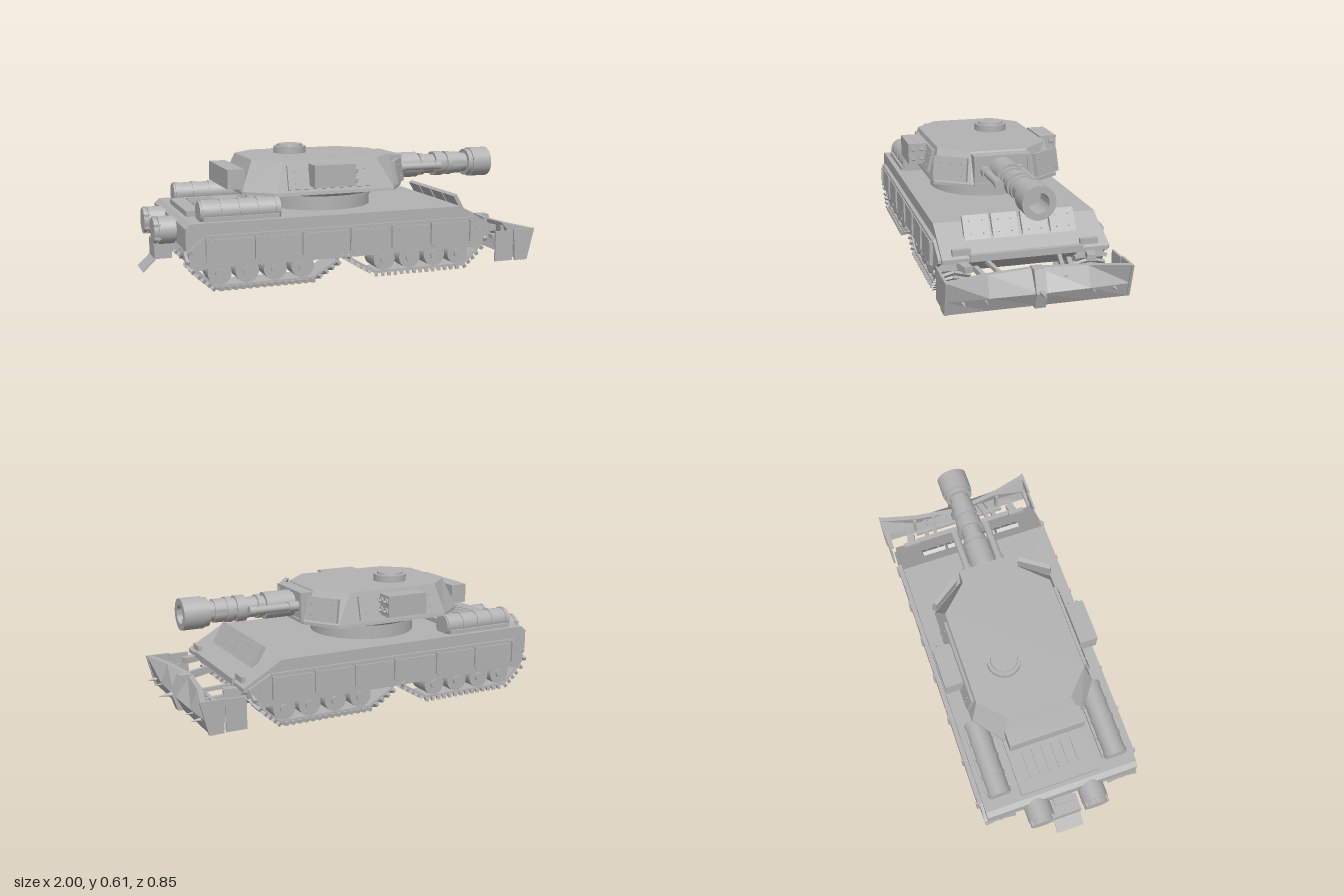
import * as THREE from 'three';
import { mergeGeometries, toCreasedNormals } from 'three/addons/utils/BufferGeometryUtils.js';

const steel = new THREE.MeshStandardMaterial({ color: 0xb2b2b2 });
steel.name = 'steel grey';

function add(parent, name, geo, pos = [0, 0, 0], rot = [0, 0, 0]) {
  const m = new THREE.Mesh(geo, steel);
  m.name = name;
  m.position.set(...pos);
  m.rotation.set(...rot, 'YXZ');
  parent.add(m);
  return m;
}
const box = (p, name, size, pos, rot) => add(p, name, new THREE.BoxGeometry(...size), pos, rot);

// Cylinder along x, y or z; r2 is the radius at the positive end
function cyl(p, name, r, len, pos, axis = 'y', r2 = r, seg = 28) {
  const g = new THREE.CylinderGeometry(r2, r, len, seg);
  if (axis === 'x') g.rotateZ(-Math.PI / 2);
  if (axis === 'z') g.rotateX(Math.PI / 2);
  return add(p, name, g, pos);
}

// Side profile in x and y, extruded across z
function profile(p, name, pts, z0, z1) {
  const g = new THREE.ExtrudeGeometry(new THREE.Shape(pts.map(q => new THREE.Vector2(...q))),
    { depth: z1 - z0, bevelEnabled: false });
  return add(p, name, g, [0, 0, z0]);
}

// Flat-faced skin over rings of equal length, capped at both ends
function loft(rings) {
  const v = [], n = rings[0].length;
  const tri = (a, b, c) => v.push(...a, ...b, ...c);
  for (let i = 0; i + 1 < rings.length; i++) for (let j = 0; j < n; j++) {
    const k = (j + 1) % n, A = rings[i], B = rings[i + 1];
    tri(A[j], A[k], B[k]);
    tri(A[j], B[k], B[j]);
  }
  const a = rings[0], b = rings[rings.length - 1];
  for (let j = 1; j + 1 < n; j++) {
    tri(a[0], a[j + 1], a[j]);
    tri(b[0], b[j], b[j + 1]);
  }
  const g = new THREE.BufferGeometry();
  g.setAttribute('position', new THREE.Float32BufferAttribute(v, 3));
  g.computeVertexNormals();
  return g;
}

// Armour plate facing local +z with rows of bolts
function boltedPlate(p, name, w, h, t, pos, rot, cols = 3, rows = 2) {
  const g = new THREE.Group();
  g.name = name;
  g.position.set(...pos);
  g.rotation.set(...rot, 'YXZ');
  p.add(g);
  box(g, 'plate', [w, h, t], [0, 0, 0]);
  for (let i = 0; i < cols; i++) for (let j = 0; j < rows; j++)
    cyl(g, 'bolt', 0.004, 0.006, [((i + 0.5) / cols - 0.5) * w, ((j + 0.5) / rows - 0.5) * h, t / 2 + 0.002], 'z', 0.003, 8);
}

function buildHull(root) {
  const g = new THREE.Group();
  g.name = 'hull';
  root.add(g);
  profile(g, 'upperHull', [[-0.855, 0.2], [0.72, 0.19], [0.72, 0.21], [0.53, 0.322], [-0.83, 0.322], [-0.855, 0.3]], -0.39, 0.39);
  profile(g, 'lowerHull', [[-0.85, 0.21], [-0.74, 0.1], [0.58, 0.1], [0.71, 0.2]], -0.25, 0.25);
  box(g, 'engineDeck', [0.34, 0.03, 0.4], [-0.64, 0.333, 0]);
  for (let i = 0; i < 6; i++) for (const s of [-1, 1])
    box(g, 'louvre', [0.13, 0.012, 0.018], [-0.675, 0.352, s * (0.025 + Math.floor(i / 2) * 0.05)]);
  // Glacis blocks
  for (const z of [-0.205, -0.07, 0.07, 0.205])
    boltedPlate(g, 'glacisPlate', 0.122, 0.175, 0.02, [0.608, 0.282, z], [-0.53, Math.PI / 2, 0], 2, 3);
  box(g, 'frontLip', [0.025, 0.03, 0.53], [0.715, 0.21, 0]);
  for (const s of [-1, 1]) {
    box(g, 'headlampBar', [0.02, 0.028, 0.085], [0.7, 0.235, s * 0.3]);
    // Side skirt with framed panels
    profile(g, 'skirt', [[-0.76, 0.115], [0.58, 0.115], [0.7, 0.19], [0.7, 0.205], [0.59, 0.265], [-0.77, 0.265], [-0.84, 0.2]],
      s > 0 ? 0.388 : -0.404, s > 0 ? 0.404 : -0.388);
    const cuts = [-0.76, -0.53, -0.3, -0.06, 0.155, 0.365, 0.58];
    for (let i = 0; i < 6; i++)
      box(g, 'skirtPanel', [cuts[i + 1] - cuts[i] - 0.02, 0.115, 0.01], [(cuts[i] + cuts[i + 1]) / 2, 0.19, s * 0.407]);
    for (const x of cuts) box(g, 'skirtBracket', [0.016, 0.11, 0.02], [x, 0.2, s * 0.41]);
    box(g, 'skirtRail', [1.36, 0.012, 0.012], [-0.09, 0.262, s * 0.405]);
    // Fuel drum and straps
    cyl(g, 'fuelDrum', 0.054, 0.385, [-0.585, 0.358, s * 0.3], 'x');
    for (let i = 0; i < 5; i++) cyl(g, 'drumStrap', 0.058, 0.016, [-0.76 + i * 0.088, 0.358, s * 0.3], 'x');
    box(g, 'drumCradle', [0.36, 0.03, 0.13], [-0.585, 0.327, s * 0.3]);
    // Rear exhausts
    cyl(g, 'exhaust', 0.055, 0.13, [-0.88, 0.257, s * 0.14], 'x');
    cyl(g, 'exhaustCan', 0.066, 0.075, [-0.9, 0.257, s * 0.14], 'x');
    cyl(g, 'exhaustRim', 0.062, 0.016, [-0.953, 0.257, s * 0.14], 'x');
    for (let k = 0; k < 6; k++) {
      const a = k * Math.PI / 3;
      box(g, 'exhaustLug', [0.03, 0.014, 0.014], [-0.945, 0.257 + 0.06 * Math.cos(a), s * 0.14 + 0.06 * Math.sin(a)], [0, 0, 0]);
    }
  }
  // Rear hitch and flap
  box(g, 'hitchBox', [0.085, 0.085, 0.14], [-0.9, 0.145, 0]);
  box(g, 'hitchMount', [0.08, 0.06, 0.1], [-0.85, 0.17, 0]);
  box(g, 'rearFlap', [0.085, 0.008, 0.14], [-0.969, 0.073, 0], [0, 0, 0.76]);
}

// One of four track units; flip mirrors it lengthwise
function buildTrack(root, s, flip) {
  const g = new THREE.Group();
  g.name = 'track';
  root.add(g);
  const X = x => flip ? -0.18 - x : x, z = s * 0.325;
  const pts = [[-0.8, 0.2], [-0.835, 0.18], [-0.84, 0.14], [-0.815, 0.105], [-0.725, 0.025], [-0.25, 0.025], [-0.125, 0.1],
    [-0.115, 0.14], [-0.15, 0.185]];
  const geos = [];
  pts.forEach(([x0, y0], i) => {
    const [x1, y1] = pts[(i + 1) % pts.length];
    const len = Math.hypot(x1 - x0, y1 - y0), count = Math.max(1, Math.round(len / 0.034));
    const dir = Math.atan2(y1 - y0, x1 - x0);
    const put = (geo, t) => {
      // Local -y points outward from the loop
      geo.rotateZ(dir);
      geo.translate(x0 + (x1 - x0) * t, y0 + (y1 - y0) * t, 0);
      if (flip) geo.rotateY(Math.PI).translate(-0.18, 0, 0);
      geo.translate(0, 0, z);
      geos.push(geo);
    };
    put(new THREE.BoxGeometry(len + 0.006, 0.012, 0.13), 0.5);
    for (let k = 0; k < count; k++) for (const side of [-1, 1])
      put(new THREE.BoxGeometry(0.017, 0.018, 0.085).rotateY(side * 0.4).translate(0, -0.011, side * 0.038), (k + 0.5) / count);
  });
  add(g, 'trackBelt', mergeGeometries(geos));
  for (const x of [-0.7, -0.57, -0.435, -0.3]) {
    cyl(g, 'roadWheel', 0.056, 0.12, [X(x), 0.086, z], 'z');
    cyl(g, 'wheelHub', 0.022, 0.14, [X(x), 0.086, z], 'z', 0.022, 16);
  }
  cyl(g, 'sprocket', 0.045, 0.13, [X(-0.79), 0.15, z], 'z');
  cyl(g, 'idler', 0.03, 0.13, [X(-0.16), 0.14, z], 'z');
}

function buildTurret(root) {
  const g = new THREE.Group();
  g.name = 'turret';
  root.add(g);
  cyl(g, 'turretRing', 0.265, 0.075, [-0.09, 0.355, 0], 'y', 0.265, 48);
  cyl(g, 'ringLip', 0.275, 0.014, [-0.09, 0.385, 0], 'y', 0.275, 48);
  cyl(g, 'turretNeck', 0.27, 0.03, [-0.09, 0.402, 0], 'y', 0.3, 48);
  const oct = (y, xr, xa, xb, xf, zr, zm, zf) => [[xa, y, zm], [xb, y, zm], [xf, y, zf], [xf, y, -zf],
    [xb, y, -zm], [xa, y, -zm], [xr, y, -zr], [xr, y, zr]];
  add(g, 'turretBody', loft([
    oct(0.41, -0.54, -0.4, 0.2, 0.31, 0.2, 0.315, 0.15),
    oct(0.425, -0.54, -0.4, 0.2, 0.31, 0.2, 0.313, 0.15),
    oct(0.572, -0.48, -0.36, 0.12, 0.25, 0.16, 0.275, 0.14)]));
  box(g, 'rearStowage', [0.085, 0.095, 0.38], [-0.565, 0.485, 0]);
  // Commander hatch
  cyl(g, 'cupola', 0.082, 0.036, [-0.21, 0.588, -0.084], 'y', 0.082, 36);
  cyl(g, 'hatch', 0.066, 0.012, [-0.21, 0.611, -0.084], 'y', 0.064, 36);
  for (const s of [-1, 1]) {
    const yaw = s > 0 ? 0 : Math.PI;
    boltedPlate(g, 'sidePlate', 0.43, 0.115, 0.018, [-0.13, 0.495, s * 0.3], [-0.245, yaw, 0], 6, 2);
    boltedPlate(g, 'cheekPlate', 0.17, 0.115, 0.022, [0.25, 0.495, s * 0.24], [-0.17, s > 0 ? 0.97 : Math.PI - 0.97, 0], 3, 2);
    // Four-tube launcher
    box(g, 'launcherBox', [0.21, 0.105, 0.09], [-0.135, 0.508, s * 0.346]);
    for (const y of [0.482, 0.53]) for (const z of [0.324, 0.367]) {
      cyl(g, 'launchTube', 0.017, 0.012, [-0.028, y, s * z], 'x', 0.017, 16);
      cyl(g, 'rocketTip', 0.009, 0.014, [-0.017, y, s * z], 'x', 0.002, 12);
    }
    // Coaxial guns
    cyl(g, 'coaxialGun', 0.019, 0.27, [0.425, 0.49, s * 0.085], 'x', 0.019, 16);
    cyl(g, 'coaxialSleeve', 0.025, 0.05, [0.335, 0.49, s * 0.085], 'x', 0.025, 16);
    cyl(g, 'coaxialMuzzle', 0.022, 0.03, [0.55, 0.49, s * 0.085], 'x', 0.022, 16);
  }
  // Mantlet with raised frame
  box(g, 'mantlet', [0.07, 0.148, 0.28], [0.275, 0.49, 0]);
  for (const s of [-1, 1]) {
    box(g, 'mantletFrame', [0.01, 0.148, 0.014], [0.313, 0.49, s * 0.133]);
    box(g, 'mantletFrame', [0.01, 0.014, 0.28], [0.313, 0.49 + s * 0.067, 0]);
  }
  // Stepped main gun with bore
  const steps = [[0.3, 0.46, 0.066], [0.46, 0.475, 0.05], [0.475, 0.5, 0.058], [0.5, 0.56, 0.05], [0.56, 0.61, 0.064],
    [0.61, 0.63, 0.054], [0.63, 0.66, 0.062], [0.66, 0.72, 0.057], [0.72, 0.75, 0.05], [0.75, 0.775, 0.07], [0.775, 0.88, 0.077]];
  const line = steps.flatMap(([a, b, r]) => [new THREE.Vector2(r, a), new THREE.Vector2(r, b)]);
  line.push(new THREE.Vector2(0.046, 0.88), new THREE.Vector2(0.046, 0.76), new THREE.Vector2(0, 0.76));
  const gun = toCreasedNormals(new THREE.LatheGeometry(line, 36), 0.6);
  add(g, 'mainGun', gun.rotateZ(-Math.PI / 2), [0, 0.49, 0]);
}

function buildPlough(root) {
  const g = new THREE.Group();
  g.name = 'plough';
  root.add(g);
  // Blade sections: bottom, middle and top x at each z
  const section = (z, b, m, t) => [[b, 0.027, z], [m, 0.095, z], [t, 0.19, z], [t - 0.025, 0.19, z], [m - 0.035, 0.095, z], [b - 0.025, 0.027, z]];
  add(g, 'blade', loft([section(-0.42, 0.89, 0.91, 0.935), section(-0.23, 0.89, 0.92, 0.885), section(0, 0.89, 0.925, 0.855),
    section(0.23, 0.89, 0.92, 0.885), section(0.42, 0.89, 0.91, 0.935)]));
  profile(g, 'centrePost', [[0.86, 0.025], [0.915, 0.025], [0.94, 0.1], [0.9, 0.198], [0.84, 0.198]], -0.025, 0.025);
  cyl(g, 'centreSpike', 0.013, 0.07, [0.965, 0.105, 0], 'x', 0.001, 12);
  for (const s of [-1, 1]) {
    cyl(g, 'spike', 0.01, 0.05, [0.93, 0.083, s * 0.345], 'x', 0.001, 10);
    cyl(g, 'spike', 0.006, 0.04, [0.93, 0.083, s * 0.245], 'x', 0.001, 10);
    profile(g, 'bladeEnd', [[0.83, 0.03], [0.9, 0.03], [0.94, 0.19], [0.82, 0.19]], s * 0.419 - 0.006, s * 0.419 + 0.006);
    box(g, 'sideFlap', [0.1, 0.155, 0.01], [0.768, 0.108, s * 0.415]);
    box(g, 'flapArm', [0.1, 0.02, 0.02], [0.82, 0.12, s * 0.405]);
    // Push arms
    box(g, 'pushArm', [0.24, 0.025, 0.022], [0.77, 0.12, s * 0.2], [0, s * 0.2, -0.12]);
    box(g, 'pushArm', [0.24, 0.018, 0.018], [0.77, 0.155, s * 0.15], [0, s * 0.2, -0.1]);
    box(g, 'armBracket', [0.075, 0.03, 0.04], [0.745, 0.18, s * 0.295], [0, s * 0.25, 0]);
    box(g, 'bladeRib', [0.03, 0.13, 0.015], [0.865, 0.11, s * 0.24]);
  }
  box(g, 'crossBar', [0.02, 0.02, 0.5], [0.81, 0.12, 0]);
}

export function createModel() {
  const root = new THREE.Group();
  root.name = 'armouredVehicle';
  buildHull(root);
  for (const s of [-1, 1]) for (const flip of [false, true]) buildTrack(root, s, flip);
  buildTurret(root);
  buildPlough(root);
  return root;
}
